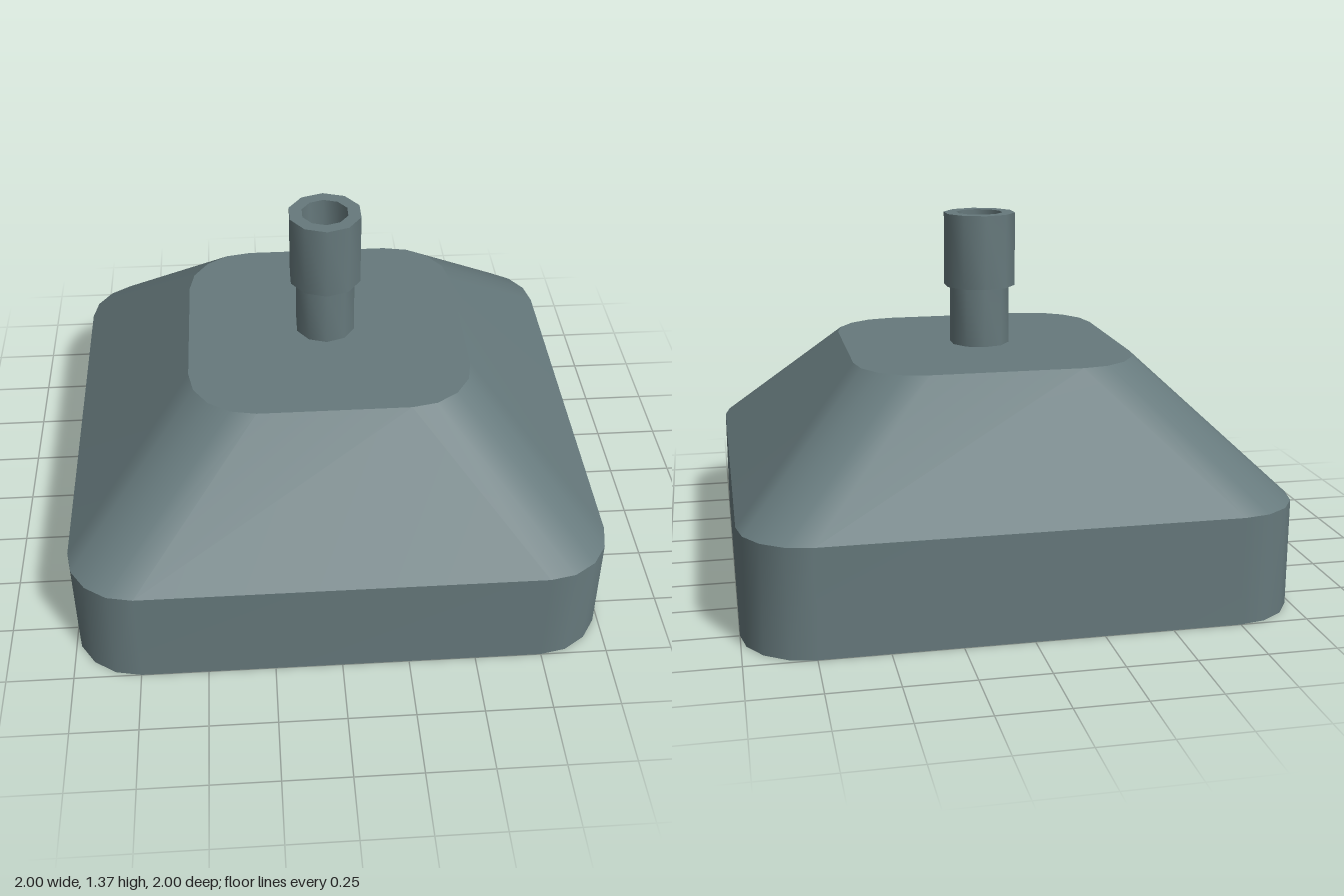
import * as THREE from 'three';
import { toCreasedNormals } from 'three/addons/utils/BufferGeometryUtils.js';

const CORNER_STEPS = 4;

// Rounded square outline at height y
function ring(half, radius, y) {
  const points = [];
  for (let corner = 0; corner < 4; corner++) {
    const mid = (corner + 0.5) * Math.PI / 2;
    const cx = Math.sign(Math.cos(mid)) * (half - radius);
    const cz = Math.sign(Math.sin(mid)) * (half - radius);
    for (let s = 0; s <= CORNER_STEPS; s++) {
      const a = (corner + s / CORNER_STEPS) * Math.PI / 2;
      points.push(cx + radius * Math.cos(a), y, cz + radius * Math.sin(a));
    }
  }
  return points;
}

// Smooth band joining a lower outline to an upper one
function band(lower, upper) {
  const n = lower.length / 3;
  const index = [];
  for (let i = 0; i < n; i++) {
    const j = (i + 1) % n;
    index.push(i, n + i, j, j, n + i, n + j);
  }
  const geometry = new THREE.BufferGeometry();
  geometry.setAttribute('position', new THREE.Float32BufferAttribute([...lower, ...upper], 3));
  geometry.setIndex(index);
  geometry.computeVertexNormals();
  return geometry;
}

export function createModel() {
  const group = new THREE.Group();
  group.name = 'parasolBase';
  const slate = new THREE.MeshStandardMaterial({ color: 0x66797c });
  slate.name = 'slateGrey';

  const add = (name, geometry) => {
    const mesh = new THREE.Mesh(geometry, slate);
    mesh.name = name;
    group.add(mesh);
  };

  // Weighted foot: straight walls, sloping shoulder and flat caps
  const bottom = ring(1, 0.25, 0);
  const rim = ring(1, 0.25, 0.4);
  const top = ring(0.535, 0.25, 0.85);
  add('footUnderside', band(ring(0, 0, 0), bottom));
  add('footWall', band(bottom, rim));
  add('footShoulder', band(rim, top));
  add('footTop', band(top, ring(0, 0, 0.85)));

  // Ten-sided pole socket with a wider collar and an open bore
  const profile = [
    [0.117, 0.85], [0.117, 1.08], [0.14, 1.08], [0.14, 1.365],
    [0.09, 1.365], [0.09, 0.86], [0, 0.86],
  ].map(([r, y]) => new THREE.Vector2(r, y));
  add('poleSocket', toCreasedNormals(new THREE.LatheGeometry(profile, 10), 0.7));

  return group;
}
